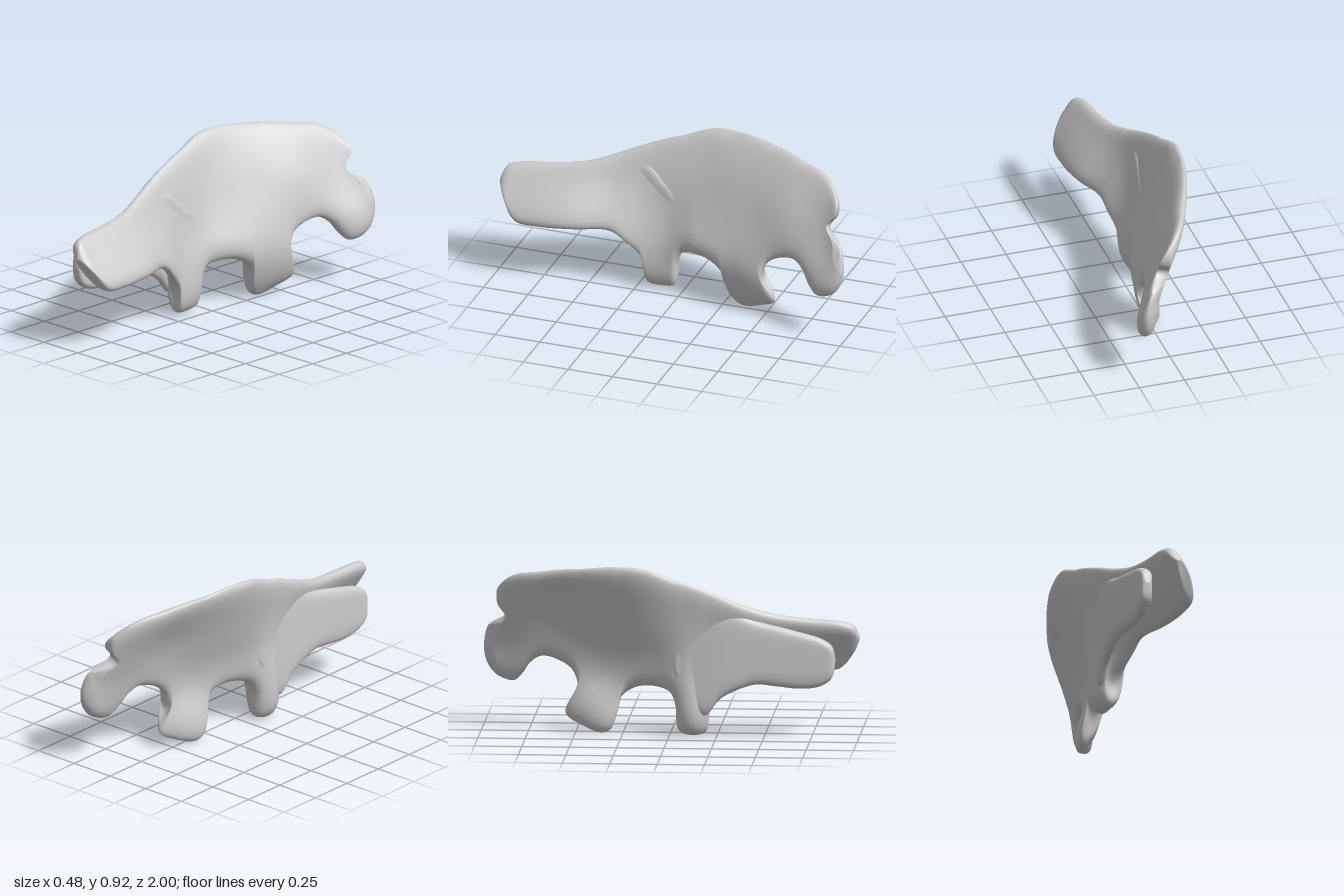
import * as THREE from 'three';

// Smooth cubic interpolation of ys over increasing positions xs, clamped at the ends
function spline(xs, ys, x) {
  const n = xs.length;
  x = Math.min(xs[n - 1], Math.max(xs[0], x));
  let i = 0;
  while (i < n - 2 && x > xs[i + 1]) i++;
  const slope = (j) => {
    const a = Math.max(0, j - 1), b = Math.min(n - 1, j + 1);
    return (ys[b] - ys[a]) / (xs[b] - xs[a]);
  };
  const d = xs[i + 1] - xs[i], t = (x - xs[i]) / d, t2 = t * t, t3 = t2 * t;
  return (2 * t3 - 3 * t2 + 1) * ys[i] + (t3 - 2 * t2 + t) * d * slope(i)
    + (3 * t2 - 2 * t3) * ys[i + 1] + (t3 - t2) * d * slope(i + 1);
}

const bump = (v, centre, width) => Math.exp(-(((v - centre) / width) ** 2));

// Sideways bend of the blade: x at four heights for stations along z
const LEVELS = [0.05, 0.3, 0.6, 0.9];
const STATIONS = [-1, -0.85, -0.6, -0.36, -0.1, 0.12, 0.35, 0.6, 1];
const BEND = [
  [0.2, 0.14, 0.045, -0.03, -0.03, -0.1, 0.0, 0.12, 0.14],
  [0.205, 0.17, 0.08, 0.03, -0.035, -0.11, 0.0, 0.1, 0.12],
  [0.165, 0.075, 0.02, -0.06, -0.13, -0.148, -0.12, -0.075, -0.055],
  [0.04, -0.05, -0.14, -0.2, -0.23, -0.222, -0.22, -0.22, -0.22],
];
const bladeX = (y, z) => spline(LEVELS, BEND.map((row) => spline(STATIONS, row, z)), y);

// Half thickness: thin sheet, swollen at the feet, socket roof, front lobe and rear lobe
const bladeHalf = (y, z) => 0.034
  + 0.042 * bump(z, 0.12, 0.11) * bump(y, 0.08, 0.26)
  + 0.022 * bump(z, -0.1, 0.2) * bump(y, 0.28, 0.12)
  + 0.025 * bump(z, -0.42, 0.16) * bump(y, 0.12, 0.18)
  + 0.008 * bump(z, 0.72, 0.25) * bump(y, 0.45, 0.12)
  + 0.018 * bump(z, -0.88, 0.16) * bump(y, 0.33, 0.14);

// Notch in the rear edge
const notch = (y, z) => 0.055 * bump(y, 0.61, 0.05) * THREE.MathUtils.smoothstep(-z, 0.78, 0.92);

// Loft of closed sections; each row is [topZ, topY, bottomZ, bottomY]
function sheet(rows, xAt, halfAt, shift, steps) {
  const curve = (a) => new THREE.CatmullRomCurve3(
    rows.map((r) => new THREE.Vector3(0, r[a + 1], r[a])));
  const top = curve(0), bottom = curve(2), K = 56;
  const pos = [], index = [];
  for (let i = 0; i <= steps; i++) {
    const a = top.getPoint(i / steps), b = bottom.getPoint(i / steps);
    const taper = Math.min(1, Math.sqrt(a.distanceTo(b) / 0.2));
    for (let k = 0; k < K; k++) {
      const ang = (k / K) * Math.PI * 2;
      const v = (1 - Math.cos(ang)) / 2;
      const y = THREE.MathUtils.lerp(a.y, b.y, v);
      let z = THREE.MathUtils.lerp(a.z, b.z, v ** 6);
      z += shift(y, z);
      // Offset along the normal of the bent mid surface
      const dy = (xAt(y + 0.01, z) - xAt(y - 0.01, z)) / 0.02;
      const len = Math.hypot(1, dy);
      const round = Math.sqrt(Math.max(0, 1 - Math.abs(2 * v - 1) ** 7));
      const off = Math.sign(Math.sin(ang)) * halfAt(y, z) * taper * round;
      pos.push(xAt(y, z) + off / len, y - (off * dy) / len, z);
      if (i < steps) {
        const p = i * K + k, q = i * K + ((k + 1) % K);
        index.push(p, q, p + K, q, q + K, p + K);
      }
    }
  }
  const g = new THREE.BufferGeometry();
  g.setAttribute('position', new THREE.Float32BufferAttribute(pos, 3));
  g.setIndex(index);
  g.computeVertexNormals();
  return g;
}

export function createModel() {
  const group = new THREE.Group();
  group.name = 'hipBone';
  const material = new THREE.MeshStandardMaterial({
    color: 0xcccccc, side: THREE.DoubleSide });
  const add = (name, geometry) => {
    const mesh = new THREE.Mesh(geometry, material);
    mesh.name = name;
    group.add(mesh);
  };

  // Main blade with front lobe, two feet and rear lobe
  add('blade', sheet([
    [1, 0.52, 1, 0.52], [0.97, 0.59, 0.95, 0.43], [0.9, 0.615, 0.88, 0.345],
    [0.75, 0.63, 0.75, 0.335], [0.55, 0.66, 0.55, 0.34], [0.4, 0.71, 0.38, 0.33],
    [0.32, 0.745, 0.28, 0.25], [0.25, 0.775, 0.205, 0.15], [0.2, 0.795, 0.195, 0.03],
    [0.15, 0.815, 0.14, 0.01], [0.08, 0.84, 0.05, 0.03], [0.03, 0.855, 0.03, 0.17],
    [-0.02, 0.875, 0, 0.235], [-0.1, 0.905, -0.1, 0.26], [-0.17, 0.918, -0.2, 0.24],
    [-0.22, 0.92, -0.27, 0.18], [-0.26, 0.92, -0.31, 0.03], [-0.3, 0.92, -0.36, 0.005],
    [-0.36, 0.915, -0.47, 0.04], [-0.4, 0.91, -0.555, 0.09], [-0.44, 0.905, -0.55, 0.14],
    [-0.48, 0.9, -0.495, 0.215], [-0.53, 0.895, -0.52, 0.32], [-0.6, 0.885, -0.6, 0.375],
    [-0.68, 0.87, -0.69, 0.39], [-0.75, 0.86, -0.75, 0.35], [-0.8, 0.85, -0.79, 0.29],
    [-0.86, 0.82, -0.84, 0.245], [-0.92, 0.75, -0.93, 0.27], [-0.925, 0.68, -0.98, 0.33],
    [-0.935, 0.6, -1, 0.41], [-0.96, 0.57, -0.99, 0.5], [-0.98, 0.545, -0.98, 0.545],
  ], bladeX, bladeHalf, notch, 224));

  // Thin inner flap beside the front lobe, sinking into the blade towards the rear
  const flapX = (y, z) => spline([-0.1, 0.1, 0.3, 0.5, 0.9],
    [-0.11, -0.13, -0.145, -0.142, -0.138], z)
    + 0.08 * Math.max(0, 0.36 - y) * THREE.MathUtils.smoothstep(z, 0.3, 0.6);
  add('innerFlap', sheet([
    [0.88, 0.42, 0.88, 0.42], [0.86, 0.5, 0.86, 0.33], [0.8, 0.54, 0.8, 0.285],
    [0.7, 0.57, 0.7, 0.27], [0.58, 0.6, 0.58, 0.28], [0.46, 0.63, 0.46, 0.29],
    [0.36, 0.67, 0.36, 0.26], [0.27, 0.69, 0.27, 0.21], [0.2, 0.68, 0.19, 0.12],
    [0.13, 0.62, 0.13, 0.15], [0.06, 0.55, 0.06, 0.27], [0, 0.42, 0, 0.42],
  ], flapX, () => 0.034, () => 0, 80));

  return group;
}
